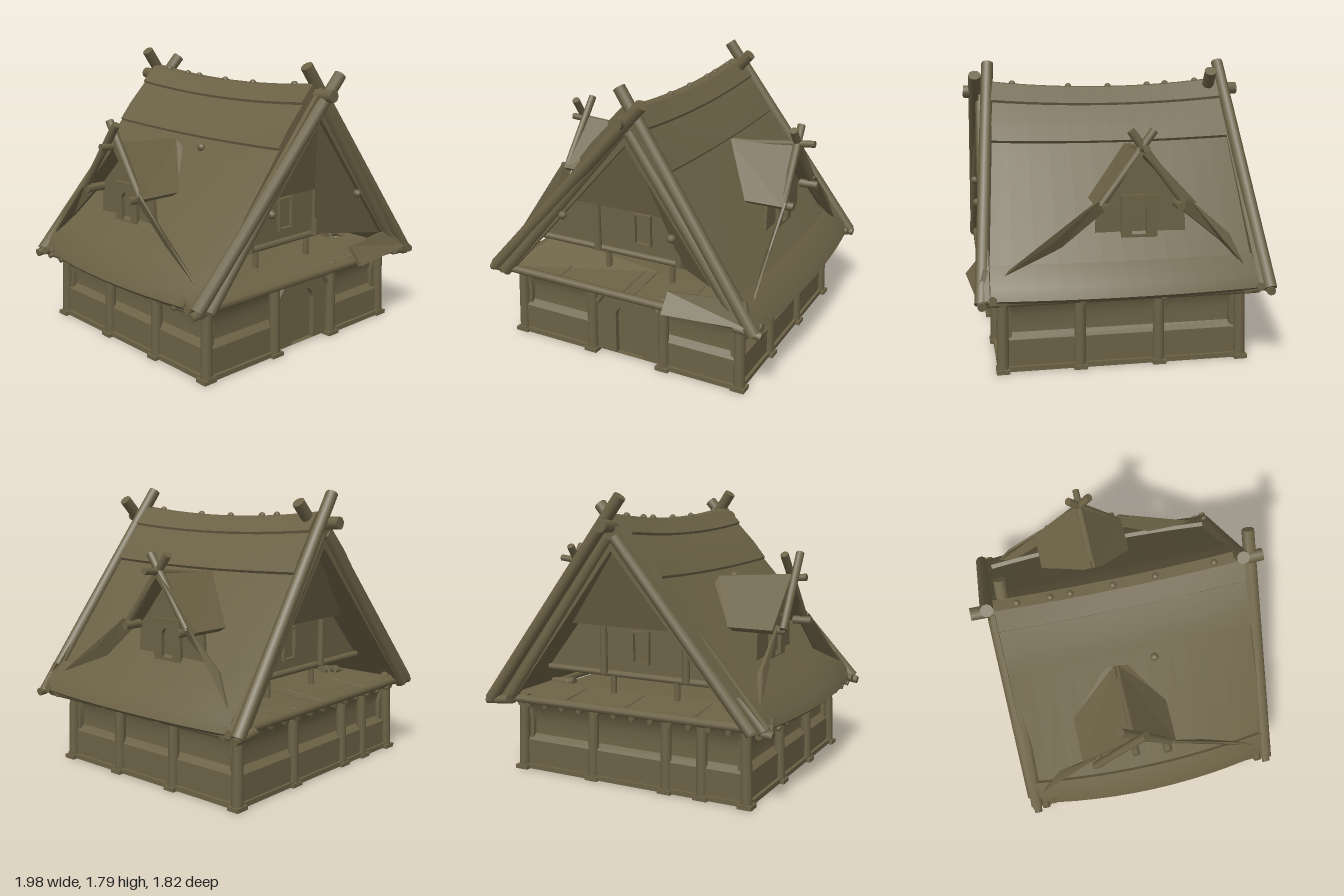
import * as THREE from 'three';
import { toCreasedNormals } from 'three/addons/utils/BufferGeometryUtils.js';

const timber = new THREE.MeshStandardMaterial({ color: 0x6b6145, side: THREE.DoubleSide });
timber.name = 'weathered timber';
const V = (x, y, z) => new THREE.Vector3(x, y, z);

export function createModel() {
  const house = new THREE.Group();
  house.name = 'house';

  const add = (name, geometry, parent = house) => {
    const m = new THREE.Mesh(geometry, timber);
    m.name = name;
    parent.add(m);
    return m;
  };
  const box = (name, w, h, d, x, y, z, parent) => {
    const m = add(name, new THREE.BoxGeometry(w, h, d), parent);
    m.position.set(x, y, z);
    return m;
  };
  // Round log between two points
  const log = (name, a, b, r, parent) => {
    const dir = b.clone().sub(a);
    const m = add(name, new THREE.CylinderGeometry(r * 0.92, r, dir.length(), 9), parent);
    m.position.copy(a).add(b).multiplyScalar(0.5);
    m.quaternion.setFromUnitVectors(V(0, 1, 0), dir.normalize());
    return m;
  };
  const knob = (name, x, y, z, r = 0.022) => {
    add(name, new THREE.SphereGeometry(r, 8, 6)).position.set(x, y, z);
  };
  // Thin slab over a convex outline
  const panel = (name, pts, t = 0.02, parent) => {
    const n = pts[1].clone().sub(pts[0]).cross(pts[2].clone().sub(pts[0])).normalize().multiplyScalar(t / 2);
    const top = pts.map(p => p.clone().add(n)), low = pts.map(p => p.clone().sub(n));
    const out = [], tri = (...c) => c.forEach(p => out.push(p.x, p.y, p.z));
    pts.forEach((_, i) => {
      const j = (i + 1) % pts.length;
      if (i > 0 && j > 0) { tri(top[0], top[i], top[j]); tri(low[0], low[j], low[i]); }
      tri(low[i], low[j], top[j]); tri(low[i], top[j], top[i]);
    });
    const g = new THREE.BufferGeometry();
    g.setAttribute('position', new THREE.Float32BufferAttribute(out, 3));
    g.computeVertexNormals();
    return add(name, g, parent);
  };
  const shapeOf = pts => new THREE.Shape(pts.map(p => new THREE.Vector2(...p)));
  // Arch-topped outline
  const arch = (path, x, y0, y1, r) => path.moveTo(x - r, y0).lineTo(x + r, y0).lineTo(x + r, y1 - r)
    .absarc(x, y1 - r, r, 0, Math.PI).lineTo(x - r, y0);

  // Main roof: layered thatch profile, with sagging ridge and bowed eaves
  const outer = [[-0.91, 0.49], [-0.89, 0.56], [-0.81, 0.665], [-0.79, 0.65], [-0.26, 1.285], [-0.265, 1.3],
    [-0.18, 1.4], [-0.06, 1.515], [-0.065, 1.53], [0.03, 1.62], [0.1, 1.62], [0.185, 1.525], [0.18, 1.51],
    [0.27, 1.4], [0.335, 1.305], [0.325, 1.29], [0.785, 0.65], [0.81, 0.665], [0.91, 0.56], [0.94, 0.49]];
  const inner = [[0.9, 0.465], [0.77, 0.62], [0.07, 1.53], [-0.77, 0.62], [-0.88, 0.465]];
  const roof = new THREE.ExtrudeGeometry(shapeOf([...outer, ...inner]),
    { depth: 1.51, steps: 12, bevelEnabled: false });
  roof.translate(0, 0, -0.765);
  const p = roof.attributes.position;
  for (let i = 0; i < p.count; i++) {
    const x = p.getX(i), y = p.getY(i), z = p.getZ(i), h = (y - 0.46) / 1.16, k = Math.min(1, (z / 0.76) ** 2);
    const bow = Math.abs(x) > 0.3 ? (x < 0 ? -0.085 : 0.05) * (1 - h) ** 2 * (1 - k) : 0;
    p.setXYZ(i, x + bow, y + 0.045 * k * h ** 3, z * (1 + 0.05 * (1 - h)));
  }
  add('roof', toCreasedNormals(roof, 0.45));
  [-0.63, -0.43, -0.31, -0.05, 0.21, 0.57].forEach(z => knob('ridgePeg', 0.06, 1.62 + 0.075 * z * z, z));
  [0.88, -0.91].forEach(z => log('ridgePole', V(0.07, 1.585, z * 0.6), V(0.07, 1.6, z), 0.042));
  [[-0.31, 1.24, 0.13], [-0.37, 0.95, 0.81], [0.39, 0.95, 0.82]].forEach(k => knob('roofPeg', ...k, 0.027));

  // Crossed gable logs with boards behind them
  const gableLogs = [
    ['front', V(-0.93, 0.49, 0.79), V(0.2, 1.71, 0.81)], ['front', V(0.92, 0.47, 0.83), V(0, 1.77, 0.72)],
    ['back', V(-0.92, 0.49, -0.8), V(0.2, 1.72, -0.7)], ['back', V(0.94, 0.48, -0.87), V(0, 1.77, -0.8)]];
  gableLogs.forEach(([end, a, b]) => {
    const s = end === 'front' ? 1 : -1, side = Math.sign(a.x), zLow = s > 0 ? 0.8 : -0.815, zTop = s > 0 ? 0.77 : -0.785;
    log(end + 'GableLog', a, b, 0.042);
    log(end + 'GableRail', V(side * 0.85, 0.47, zLow), V(0.07 + side * 0.02, 1.53, zTop), 0.04);
    panel(end + 'GableBoard', [V(side * 0.95, 0.5, zLow), V(side * 0.82, 0.45, zLow),
      V(0.07, 1.45, zTop), V(0.07, 1.64, zTop)], 0.03);
    [0, 1, 2].forEach(i => log('eaveEnd', V(side * 0.8, 0.49 - i * 0.01, a.z - s * 0.06 * i),
      V(side * (0.97 - 0.02 * i), 0.47 + 0.025 * i, a.z - s * 0.06 * i), 0.028));
  });

  // Gable ends: recessed wall, leaning upper wall, posts, window, porch roof
  [1, -1].forEach(s => {
    const g = new THREE.Group(), z = s > 0 ? 0.51 : -0.49;
    g.name = s > 0 ? 'frontGable' : 'backGable';
    house.add(g);
    panel('gableWall', [V(-0.75, 0.64, z), V(0.75, 0.64, z), V(0.07, 1.51, z)], 0.03, g);
    panel('upperGableWall', [V(-0.48, 0.96, z + s * 0.06), V(0.52, 0.96, z + s * 0.06), V(0.07, 1.5, s * 0.7)], 0.02, g);
    log('gableBeam', V(-0.74, 0.645, z + s * 0.02), V(0.74, 0.645, z + s * 0.02), 0.022, g);
    [-0.29, 0.3].forEach(x => log('gablePost', V(x, 0.64, z + s * 0.04), V(x, 0.96, z + s * 0.04), 0.025, g));
    [-0.22, 0.24].forEach(x => log('strut', V(x, 0.48, z + s * 0.02), V(x, 0.64, z + s * 0.02), 0.02, g));
    [-0.02, 0.09].forEach(x => box('windowJamb', 0.014, 0.2, 0.03, x, 0.83, z + s * 0.025, g));
    [0.73, 0.925].forEach(y => box('windowRail', 0.12, 0.014, 0.03, 0.035, y, z + s * 0.025, g));
    const yL = s > 0 ? 0.6 : 0.52;
    panel('porchRoof', [V(-0.84, 0.485, s * 0.78), V(0.1, 0.485, s * 0.78), V(0.1, 0.515, s * 0.46), V(-0.7, yL, s * 0.46)], 0.02, g);
    panel('porchRoof', [V(0.1, 0.48, s * 0.78), V(0.86, 0.48, s * 0.78), V(0.76, 0.52, s * 0.46), V(0.1, 0.51, s * 0.46)], 0.02, g);
    [-0.45, 0.02, 0.45].forEach(x => log('porchBatten', V(x, 0.495, s * 0.78), V(x, 0.52, s * 0.5), 0.009, g));
    log('porchBeam', V(-0.83, 0.49, s * 0.79), V(0.9, 0.485, s * 0.8), 0.028, g);
  });
  panel('innerBoard', [V(0.09, 1.44, 0.74), V(0.32, 0.64, 0.53), V(0.74, 0.62, 0.77)], 0.015);
  panel('looseBoard', [V(0.36, 0.6, 0.8), V(0.86, 0.65, 0.8), V(0.91, 0.51, 0.85), V(0.36, 0.49, 0.89)], 0.03);

  // Dormers on both slopes
  [1, -1].forEach(s => {
    const g = new THREE.Group(), zc = -0.12, drop = s > 0 ? 0 : 0.025;
    g.name = s > 0 ? 'leftDormer' : 'rightDormer';
    house.add(g);
    const P = (x, y, z) => V(s * x, y, zc + z);
    [1, -1].forEach(t => {
      const edge = t > 0 ? 0.27 : -0.31;
      panel('dormerRoof', [P(0.32, 1.275 - drop, 0), P(0.81, 1.31 - drop, 0), P(0.81, 0.98, edge),
        P(0.52, 0.98, edge), P(0.32, 1.2, t * 0.08)], 0.035, g);
      const x = s < 0 && t < 0 ? 0.83 : 0.78;
      log('dormerRafter', P(x, 1.42, -t * 0.07), P(x + 0.02, 0.99, t * 0.25), 0.026, g);
      log('dormerPurlin', P(0.74, 0.98, t * 0.22), P(0.86, 0.98, t * 0.22), 0.028, g);
      panel('dormerWing', [P(0.82, 1.02, t * 0.27), P(0.83, 0.8, t * 0.52), P(0.86, 0.61, t * (t > 0 ? 0.83 : 0.61)),
        P(0.79, 0.75, t * 0.48), P(0.79, 0.97, t * 0.21)], 0.015, g);
    });
    log('dormerRidge', P(0.4, 1.27 - drop, 0), P(0.9, s > 0 ? 1.33 : 1.28, 0), 0.024, g);
    panel('dormerWall', [P(0.69, 0.74, -0.29), P(0.69, 0.74, 0.27), P(0.69, 0.98, 0.25), P(0.69, 1.27 - drop, 0), P(0.69, 0.98, -0.28)], 0.02, g);
    // Arched window in a square frame
    const frame = shapeOf([[-0.11, 0.77], [0.11, 0.77], [0.11, 1.03], [-0.11, 1.03]]);
    frame.holes.push(arch(new THREE.Path(), 0, 0.79, 0.97, 0.045));
    const w = add('dormerWindowFrame', new THREE.ExtrudeGeometry(frame, { depth: 0.03, bevelEnabled: false }), g);
    w.rotation.y = s * Math.PI / 2;
    w.position.set(s > 0 ? 0.695 : -0.695, 0, zc);
  });

  // Ground floor walls: concave ledged profile along each side, open underneath
  const wall = (name, length, x, z, turn) => {
    const shape = shapeOf([[0.03, 0.02], [0.03, 0.2], [-0.01, 0.235], [-0.015, 0.33], [0, 0.4], [0.035, 0.46],
      [0.01, 0.46], [-0.025, 0.4], [-0.04, 0.33], [-0.035, 0.22], [0, 0.19], [0, 0.02]]);
    const geo = new THREE.ExtrudeGeometry(shape, { depth: length, bevelEnabled: false });
    geo.translate(0, 0, -length / 2);
    const m = add(name, toCreasedNormals(geo, 0.7));
    m.position.set(x, 0, z);
    m.rotation.y = turn;
  };
  const q = Math.PI / 2;
  wall('leftWall', 1.43, 0.76, -0.01, 0);
  wall('rightWall', 1.43, -0.76, -0.01, Math.PI);
  wall('backWall', 1.56, 0, -0.71, q);
  wall('frontWall', 0.57, -0.495, 0.69, -q);
  wall('frontWall', 0.51, 0.525, 0.69, -q);
  box('ceiling', 1.54, 0.02, 1.42, 0, 0.46, -0.005);

  // Posts, feet and caps around the walls
  const post = (x, z) => {
    log('wallPost', V(x, 0.01, z), V(x * 0.985, 0.48, z * 0.99), 0.036);
    box('postFoot', 0.09, 0.025, 0.08, x, 0.018, z);
    knob('postCap', x, 0.47, z, 0.036);
  };
  [-0.24, 0.28].forEach(x => post(x, 0.72));
  [-0.5, -0.26, 0.26].forEach(x => post(x, -0.73));
  [1, -1].forEach(s => {
    [0.71, 0.25, -0.23, -0.74].forEach(z => {
      post(s * 0.79, z);
      log('tieBeamEnd', V(s * 0.74, 0.48, z), V(s * 0.92, 0.47, z), 0.028);
    });
    log('eaveBeam', V(s * 0.89, 0.465, 0.8), V(s * 0.89, 0.465, -0.82), 0.025);
    log('wallPlate', V(s * 0.79, 0.45, 0.74), V(s * 0.79, 0.45, -0.77), 0.025);
    box('sideSill', 0.05, 0.03, 1.5, s * 0.785, 0.025, 0);
    box('frontSill', 0.51, 0.03, 0.05, s > 0 ? 0.54 : -0.49, 0.025, 0.715);
  });
  box('backSill', 1.56, 0.03, 0.05, 0, 0.025, -0.73);

  // Rafter tails and joist ends on the two rough sides
  for (let i = 0; i < 12; i++) {
    const z = -0.72 + i * 0.13, x = -0.7 + i * 0.127;
    log('rafterTail', V(-0.76, 0.5, z), V(-0.93, 0.455, z), 0.018);
    log('joistEnd', V(x, 0.46, -0.7), V(x, 0.455, -0.81), 0.018);
  }

  // Front door with rounded surround
  const surround = shapeOf([[-0.22, 0.02], [0.29, 0.02], [0.29, 0.36], [0.25, 0.42], [0.16, 0.445], [-0.1, 0.445], [-0.18, 0.42], [-0.22, 0.36]]);
  surround.holes.push(arch(new THREE.Path(), 0.03, 0.021, 0.375, 0.1));
  add('doorSurround', new THREE.ExtrudeGeometry(surround, { depth: 0.04, bevelEnabled: false })).position.z = 0.67;
  add('door', new THREE.ShapeGeometry(arch(new THREE.Shape(), 0.03, 0.021, 0.375, 0.1))).position.z = 0.675;
  box('doorLintel', 0.52, 0.05, 0.05, 0.03, 0.455, 0.7);
  [[-0.2, -0.14], [0.26, 0.2]].forEach(([a, b]) => log('doorBrace', V(a, 0.36, 0.71), V(b, 0.44, 0.71), 0.018));
  return house;
}
